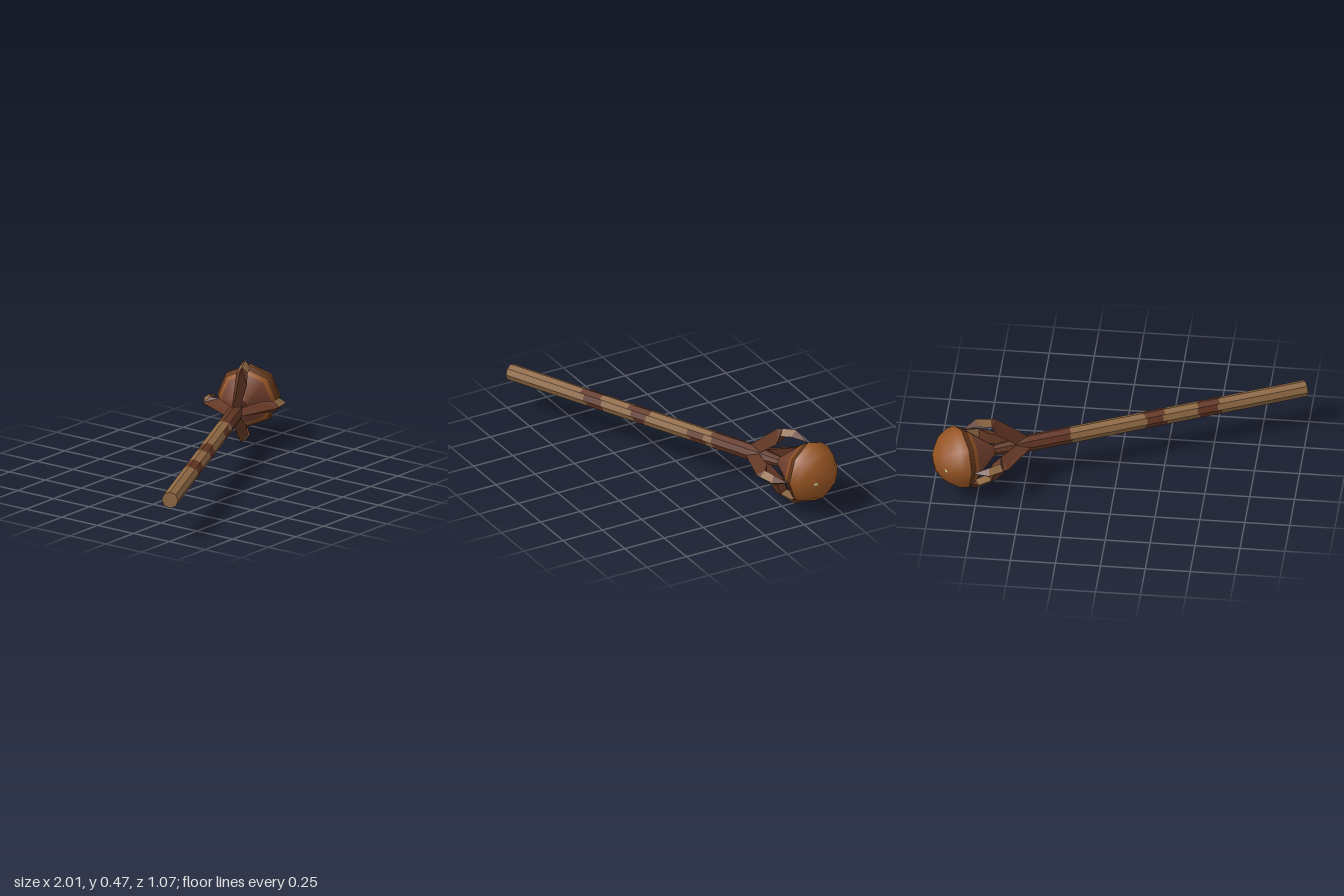
import * as THREE from 'three';

const mat = (name, color, flat = true) => {
  const m = new THREE.MeshStandardMaterial({ color, flatShading: flat, side: THREE.DoubleSide });
  m.name = name;
  return m;
};

// Flat-shaded geometry from quads [a, b, c, d]
function quads(list) {
  const pos = [];
  for (const [a, b, c, d] of list) pos.push(...a, ...b, ...c, ...a, ...c, ...d);
  const g = new THREE.BufferGeometry();
  g.setAttribute('position', new THREE.Float32BufferAttribute(pos, 3));
  g.computeVertexNormals();
  return g;
}

export function createModel() {
  const tan = mat('tan wood', 0x8e6843);
  const brown = mat('dark brown wood', 0x623624);
  const amber = mat('amber orb', 0x965423, false);
  const russet = mat('russet cone', 0x74412f, false);
  const umber = mat('umber stripe', 0x603519, false);
  const cream = mat('cream fleck', 0xcfbd8c);

  // Everything is built along local +Y, then laid diagonally
  const mace = new THREE.Group();
  mace.name = 'mace';
  const add = (parent, name, geo, material) => {
    const m = new THREE.Mesh(geo, material);
    m.name = name;
    parent.add(m);
    return m;
  };

  // Shaft: eight facets, each split into bands with uneven edges
  const R = 0.047, SIDES = 8;
  const jitter = [0.01, -0.02, 0, 0.015, -0.01, 0.02, -0.015, 0.03];
  const shaft = { tan: [], brown: [] };
  const rim = (i, t) => {
    const a = (i / SIDES) * Math.PI * 2;
    return [R * Math.cos(a), t, R * Math.sin(a)];
  };
  for (let i = 0; i < SIDES; i++) {
    const j = jitter[i];
    const cuts = [0, 0.51 + j, 0.635 + j / 2, 0.83 + j, 0.945 - j / 2];
    if (i === 0 || i === 7) cuts.push(1.21 + j, 1.32 + j);
    cuts.push(1.38 + j / 2, 1.64);
    for (let k = 0; k < cuts.length - 1; k++) {
      const [lo, hi] = [cuts[k], cuts[k + 1]];
      shaft[k % 2 ? 'brown' : 'tan'].push([rim(i, lo), rim(i, hi), rim(i + 1, hi), rim(i + 1, lo)]);
    }
  }
  add(mace, 'shaft', quads(shaft.tan), tan);
  add(mace, 'shaftBands', quads(shaft.brown), brown);
  const end = add(mace, 'shaftEnd', new THREE.CircleGeometry(R, SIDES), tan);
  end.rotation.x = Math.PI / 2;

  // Neck between shaft and orb
  const neck = add(mace, 'neck', new THREE.CylinderGeometry(0.028, R, 0.2, SIDES, 1, true), brown);
  neck.position.y = 1.74;

  // Orb: cone, stripe and dome as turned profiles
  const lathe = (name, material, pts) => add(mace, name,
    new THREE.LatheGeometry(pts.map(([r, t]) => new THREE.Vector2(r, t)), SIDES), material);
  lathe('orbCone', russet, [[0, 1.815], [0.03, 1.825], [0.14, 1.955]]);
  lathe('orbRing', amber, [[0.14, 1.955], [0.158, 1.977]]);
  lathe('orbStripe', umber, [[0.158, 1.977], [0.178, 2.012]]);
  lathe('orbDome', amber, [[0.178, 2.012], [0.171, 2.06], [0.13, 2.12], [0.065, 2.163], [0, 2.176]]);
  for (const s of [-1, 1]) {
    const fleck = add(mace, 'orbFleck', new THREE.CircleGeometry(0.013, 6), cream);
    fleck.position.set(s * 0.107, 2.14, 0);
    fleck.lookAt(s * (0.107 + 0.55), 2.14 + 0.83, 0);
  }

  // Claws: triangular section with an outer ridge [ridge r, t, inner r, t, half width]
  const sections = [
    [0.045, 1.62, 0.02, 1.69, 0.024],
    [0.205, 1.807, 0.12, 1.82, 0.034],
    [0.214, 1.84, 0.18, 1.847, 0.032],
    [0.233, 1.93, 0.196, 1.918, 0.03],
    [0.18, 2.005, 0.18, 2.005, 0],
  ].map(([ro, to, ri, ti, w]) => [[ro, to, 0], [ri, ti, w], [ri, ti, -w]]);
  const claw = (from, to) => {
    const list = [];
    for (let i = from; i < to; i++) {
      const [p, q] = [sections[i], sections[i + 1]];
      for (let k = 0; k < 3; k++) {
        const n = (k + 1) % 3;
        list.push([p[k], q[k], q[n], p[n]]);
      }
    }
    return quads(list);
  };
  const clawParts = [['clawArm', claw(0, 2), brown], ['clawPatch', claw(2, 3), tan], ['clawTip', claw(3, 4), brown]];
  for (let i = 0; i < 4; i++) {
    const g = new THREE.Group();
    g.name = 'claw';
    g.rotation.y = (i * Math.PI) / 2;
    for (const [name, geo, m] of clawParts) add(g, name, geo, m);
    mace.add(g);
  }

  // Lay the mace down, pointing to its left and back
  const yaw = Math.atan2(0.425, 0.905);
  const c = Math.cos(yaw), s = Math.sin(yaw);
  mace.setRotationFromMatrix(new THREE.Matrix4().makeBasis(
    new THREE.Vector3(s, 0, c), new THREE.Vector3(c, 0, -s), new THREE.Vector3(0, 1, 0)));
  mace.position.set(-0.98, 0.234, 0.49);

  const model = new THREE.Group();
  model.name = 'model';
  model.add(mace);
  return model;
}
